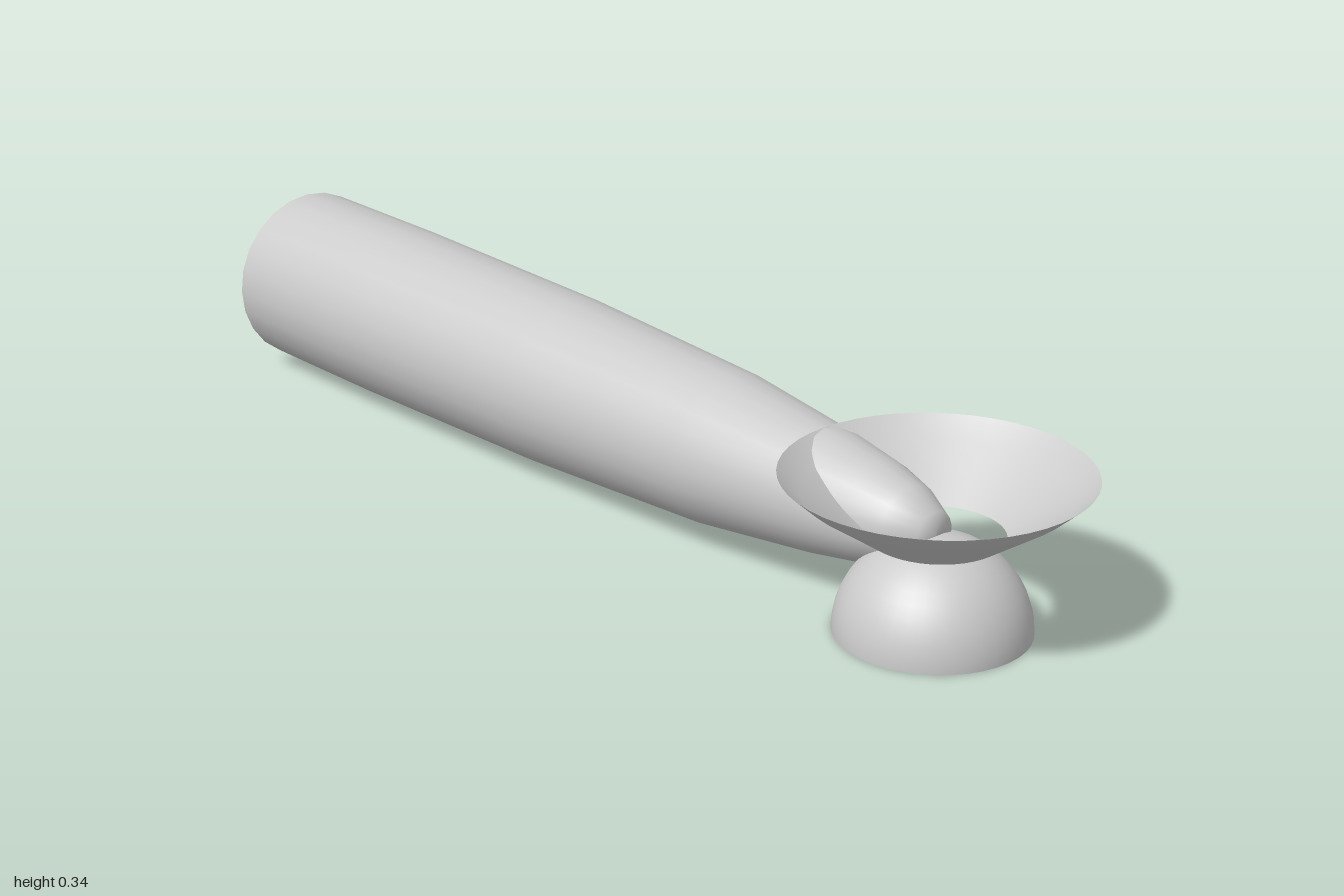
import * as THREE from 'three';

const AXIS_Y = 0.169;   // height of the tube's centre line
const HEAD_Z = 0.735;   // centre of the dome and the dish

const material = new THREE.MeshStandardMaterial({ color: 0xcccccc, side: THREE.DoubleSide });

// Open surface of revolution from [radius, height] pairs
function lathe(name, profile, sides) {
  const points = profile.map(([r, y]) => new THREE.Vector2(r, y));
  const mesh = new THREE.Mesh(new THREE.LatheGeometry(points, sides), material);
  mesh.name = name;
  return mesh;
}

export function createModel() {
  const model = new THREE.Group();
  model.name = 'model';

  // Long tapering tube, open at the back, blunt closed nose at the front
  const tube = lathe('taperedTube', [
    [0.168, -1], [0.168, -0.7], [0.16, -0.2], [0.139, 0.24], [0.108, 0.5],
    [0.09, 0.605], [0.07, 0.675], [0.042, 0.731], [0, HEAD_Z],
  ], 24);
  tube.rotation.x = Math.PI / 2;
  tube.position.y = AXIS_Y;
  model.add(tube);

  // Flared dish with an open hole in its floor
  const dish = lathe('flaredDish', [[0.117, 0.172], [0.225, 0.246], [0.264, 0.281]], 48);
  dish.position.z = HEAD_Z;
  model.add(dish);

  // Hollow half-sphere foot, open below
  const dome = new THREE.Mesh(
    new THREE.SphereGeometry(0.169, 40, 12, 0, Math.PI * 2, 0, Math.PI / 2), material);
  dome.name = 'domeFoot';
  dome.position.z = HEAD_Z;
  model.add(dome);

  return model;
}
